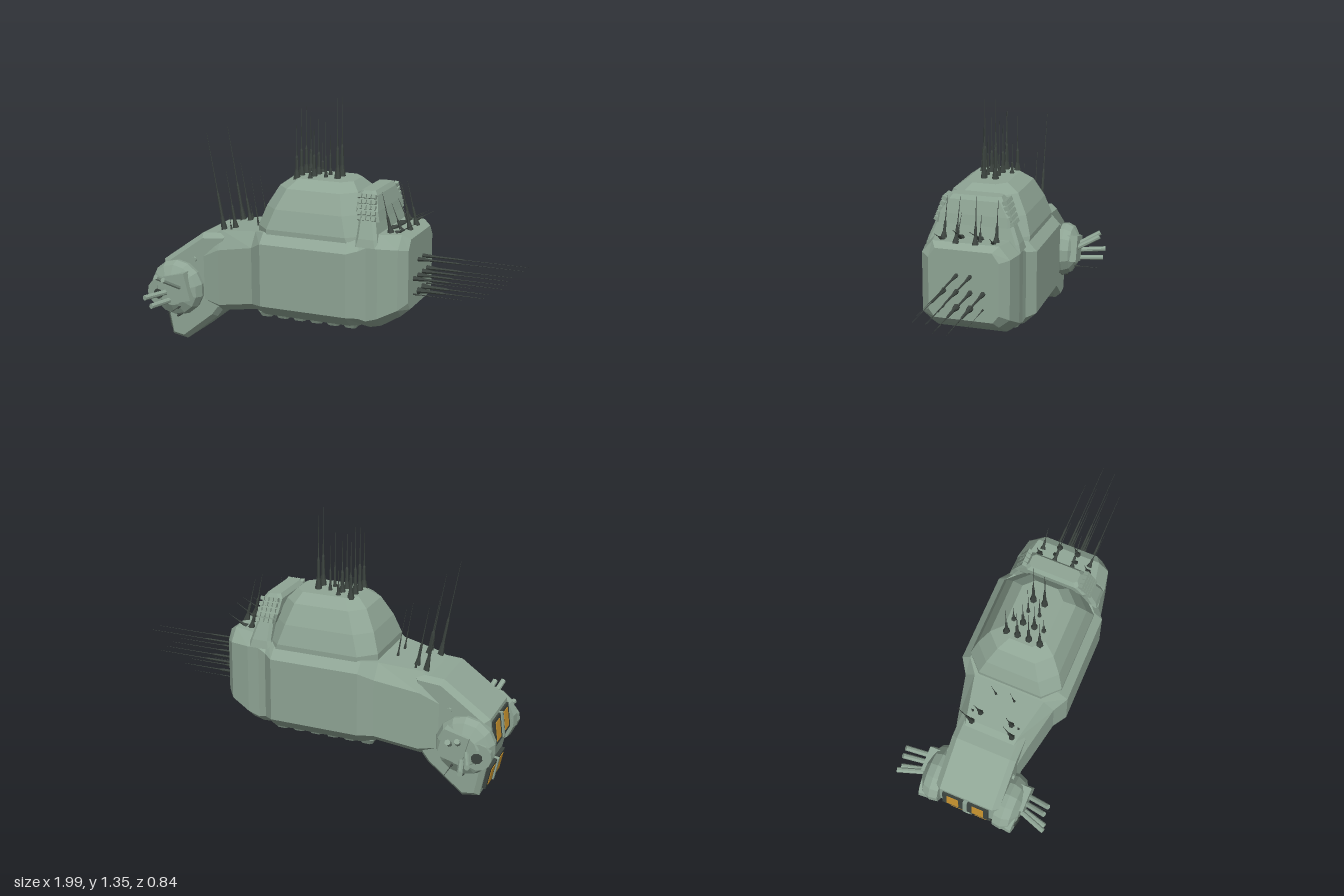
import * as THREE from 'three';

const mat = (color) => new THREE.MeshStandardMaterial({ color, flatShading: true });
const hull = mat(0x8fa595), dark = mat(0x3c443f), amber = mat(0xc8922e);
const V = (x, y, z) => new THREE.Vector3(x, y, z);

// Skin rings of corners (counter-clockwise about the direction of travel) and cap both ends
function loft(rings) {
  const n = rings[0].length, idx = [];
  for (let r = 0; r < rings.length - 1; r++) {
    for (let i = 0; i < n; i++) {
      const a = r * n + i, b = r * n + (i + 1) % n;
      idx.push(a, b, b + n, a, b + n, a + n);
    }
  }
  const last = (rings.length - 1) * n;
  for (let i = 1; i < n - 1; i++) idx.push(0, i + 1, i, last, last + i, last + i + 1);
  const g = new THREE.BufferGeometry();
  g.setAttribute('position', new THREE.Float32BufferAttribute(rings.flat(2), 3));
  g.setIndex(idx);
  const flat = g.toNonIndexed();
  flat.computeVertexNormals();
  return flat;
}

// Chamfered rectangle at height y
const slab = (y, x0, x1, h, c) => [
  [x0 + c, y, h], [x1 - c, y, h], [x1, y, h - c], [x1, y, c - h],
  [x1 - c, y, -h], [x0 + c, y, -h], [x0, y, c - h], [x0, y, h - c],
];

// Eight-cornered hull section at x
const section = ([x, yb, wb, yl, w, ys, wt, yt]) => [
  [x, yt, -wt], [x, yt, wt], [x, ys, w], [x, yl, w],
  [x, yb, wb], [x, yb, -wb], [x, yl, -w], [x, ys, -w],
];

export function createModel() {
  const root = new THREE.Group();
  const add = (name, geo, material = hull, p = [0, 0, 0]) => {
    const m = new THREE.Mesh(geo, material);
    m.name = name;
    m.position.set(...p);
    root.add(m);
    return m;
  };
  const along = (m, a, b) => m.quaternion.setFromUnitVectors(V(0, 1, 0), b.clone().sub(a).normalize());

  // Stepped needle from a to b
  const spine = (name, a, b, r) => {
    const A = V(...a), B = V(...b), L = A.distanceTo(B);
    const pts = [[0, 0], [r, 0], [r * 0.8, L * 0.06], [r * 0.45, L * 0.16], [r * 0.36, L * 0.38], [r * 0.16, L * 0.42], [0.0006, L]]
      .map(([x, y]) => new THREE.Vector2(x, y));
    along(add(name, new THREE.LatheGeometry(pts, 6), dark, a), A, B);
  };
  const rod = (name, a, b, r, material = hull, sides = 8) => {
    const A = V(...a), B = V(...b);
    const mid = A.clone().add(B).multiplyScalar(0.5);
    along(add(name, new THREE.CylinderGeometry(r, r, A.distanceTo(B), sides), material, mid.toArray()), A, B);
  };

  // Main hull: neck, bulging middle and rear block
  add('hull', loft([
    [-0.72, 0.22, 0.13, 0.26, 0.17, 0.48, 0.12, 0.58],
    [-0.60, 0.20, 0.15, 0.24, 0.195, 0.54, 0.14, 0.635],
    [-0.38, 0.245, 0.19, 0.29, 0.245, 0.59, 0.19, 0.665],
    [-0.31, 0.24, 0.23, 0.30, 0.292, 0.63, 0.245, 0.68],
    [0.16, 0.24, 0.23, 0.30, 0.292, 0.63, 0.245, 0.68],
    [0.21, 0.24, 0.19, 0.29, 0.25, 0.64, 0.20, 0.70],
    [0.25, 0.23, 0.18, 0.28, 0.245, 0.66, 0.19, 0.72],
    [0.31, 0.245, 0.18, 0.30, 0.245, 0.66, 0.19, 0.72],
    [0.41, 0.305, 0.17, 0.35, 0.225, 0.66, 0.17, 0.725],
    [0.45, 0.34, 0.15, 0.38, 0.18, 0.65, 0.145, 0.70],
  ].map(section)));

  // Dome on the middle
  add('dome', loft([
    slab(0.64, -0.37, 0.24, 0.25, 0.08), slab(0.70, -0.37, 0.22, 0.25, 0.08),
    slab(0.80, -0.335, 0.19, 0.22, 0.08), slab(0.90, -0.28, 0.15, 0.17, 0.07),
    slab(0.945, -0.22, 0.11, 0.11, 0.05),
  ]));

  // Head with its drooping chin, bevelled along the sides
  const profile = [[-0.925, 0.43], [-0.7, 0.59], [-0.58, 0.60], [-0.62, 0.22], [-0.655, 0.175],
    [-0.83, 0.035], [-0.89, 0.045], [-0.915, 0.18], [-0.94, 0.3]].map(([x, y]) => new THREE.Vector2(x, y));
  const head = new THREE.ExtrudeGeometry(new THREE.Shape(profile), {
    depth: 0.29, bevelEnabled: true, bevelThickness: 0.03, bevelSize: 0.025, bevelSegments: 1,
  });
  add('head', head, hull, [0, 0, -0.145]);

  // Four glowing exhaust windows with dark frames on the end of the head
  for (const [x, y, tilt, h] of [[-0.955, 0.36, -0.13, 0.13], [-0.932, 0.115, 0.19, 0.12]]) {
    for (const z of [-0.07, 0.07]) {
      const frame = add('exhaustFrame', new THREE.BoxGeometry(0.03, h, 0.115), dark, [x, y, z]);
      const pane = add('exhaustWindow', new THREE.BoxGeometry(0.036, h * 0.75, 0.065), amber, [x, y, z]);
      frame.rotation.z = pane.rotation.z = tilt;
    }
    const rib = add('exhaustRib', new THREE.BoxGeometry(0.045, h, 0.022), hull, [x, y, 0]);
    rib.rotation.z = tilt;
  }

  // Armour tiles under the belly
  for (let i = 0; i < 6; i++) {
    for (let j = 0; j < 4; j++) {
      const t = slab(0, -0.042, 0.042, 0.048, 0.012);
      const small = slab(-0.025, -0.03, 0.03, 0.036, 0.01);
      add('bellyTile', loft([small, t, t.map(([x, , z]) => [x, 0.03, z])]), hull,
        [-0.325 + i * 0.094, 0.24, (j - 1.5) * 0.107]);
    }
  }

  // Sensor arch behind the dome, leaning forward, with its foot
  add('sensorFoot', loft([slab(0.66, 0.18, 0.31, 0.245, 0.015), slab(0.70, 0.19, 0.30, 0.235, 0.015),
    slab(0.80, 0.19, 0.275, 0.195, 0.015)]));
  add('sensorArch', loft([slab(0.78, 0.185, 0.295, 0.19, 0.012), slab(0.83, 0.17, 0.285, 0.185, 0.012),
    slab(0.90, 0.165, 0.265, 0.145, 0.015), slab(0.922, 0.18, 0.25, 0.13, 0.015)]));

  for (const s of [1, -1]) {
    // Grid of sensor cells on each end of the arch
    for (let r = 0; r < 5; r++) {
      for (let c = 0; c < 4; c++) {
        const cell = add('sensorCell', new THREE.BoxGeometry(0.02, 0.02, 0.025), hull,
          [0.196 + c * 0.025 - r * 0.003, 0.795 + r * 0.026, s * (0.194 - r * 0.0095)]);
        cell.rotation.x = -s * 0.4;
      }
    }

    // Dome masts
    for (const [x, z, top, r] of [[-0.19, 0.03, 1.29, 0.02], [-0.19, 0.088, 1.23, 0.02], [-0.12, 0.03, 1.23, 0.02],
      [-0.12, 0.08, 1.1, 0.017], [-0.055, 0.03, 1.23, 0.012], [0.01, 0.03, 1.354, 0.02]])
      spine('domeMast', [x, 0.935, s * z], [x, top, s * z], r);

    // Neck masts
    spine('neckMast', [-0.6, 0.62, s * 0.11], [-0.69, 1.14, s * 0.115], 0.018);
    spine('neckMast', [-0.545, 0.63, s * 0.085], [-0.6, 0.95, s * 0.085], 0.018);
    spine('neckMast', [-0.55, 0.63, s * 0.125], [-0.565, 0.72, s * 0.125], 0.012);
    spine('neckMast', [-0.43, 0.65, s * 0.05], [-0.47, 0.91, s * 0.05], 0.008);

    // Rear deck whips
    for (const [a, b, r] of [[[0.32, 0.72, 0.05], [0.48, 0.81, 0.04], 0.018], [[0.34, 0.72, 0.135], [0.29, 0.92, 0.13], 0.018],
      [[0.41, 0.72, 0.05], [0.36, 0.95, 0.04], 0.018], [[0.37, 0.72, 0.13], [0.47, 0.78, 0.14], 0.016],
      [[0.37, 0.71, 0.06], [0.31, 0.85, 0.05], 0.016]])
      spine('deckWhip', [a[0], a[1], s * a[2]], [b[0], b[1], s * b[2]], r);

    // Tail lances
    for (const [y, z, tip, r] of [[0.57, 0.035, 1, 0.012], [0.487, 0.1, 0.91, 0.015], [0.487, 0.035, 0.91, 0.015],
      [0.405, 0.035, 0.8, 0.02], [0.405, 0.1, 0.7, 0.006]]) {
      spine('tailLance', [0.44, y, s * z], [tip, y, s * z], r);
    }

    // Side turret: faceted drum with cheek discs, gun mount and barrels
    const drum = [[0, 0], [0.145, 0], [0.152, 0.045], [0.135, 0.085], [0.08, 0.115], [0, 0.118]]
      .map(([x, y]) => new THREE.Vector2(x, y));
    const cap = add('turretDrum', new THREE.LatheGeometry(drum, 14), hull, [-0.845, 0.31, s * 0.155]);
    cap.rotation.x = s * Math.PI / 2;
    rod('turretCheek', [-0.915, 0.29, s * 0.16], [-0.925, 0.29, s * 0.265], 0.07, hull, 12);
    rod('turretEye', [-0.92, 0.285, s * 0.25], [-0.925, 0.285, s * 0.274], 0.028, dark, 8);
    const mount = add('gunMount', new THREE.BoxGeometry(0.13, 0.15, 0.06), hull, [-0.805, 0.33, s * 0.255]);
    mount.rotation.z = 0.25;
    for (const [x, y, x2, y2, z2] of [[-0.82, 0.33, -0.86, 0.42, 0.395], [-0.78, 0.32, -0.815, 0.41, 0.4],
      [-0.86, 0.3, -0.92, 0.305, 0.415], [-0.84, 0.26, -0.885, 0.262, 0.41]])
      rod('gunBarrel', [x, y, s * 0.24], [x2, y2, s * z2], 0.014);
    spine('turretNeedle', [-0.8, 0.225, s * 0.2], [-0.8, 0.225, s * 0.405], 0.014);
    rod('chinPin', [-0.84, 0.155, s * 0.16], [-0.84, 0.155, s * 0.215], 0.007, dark, 6);
    rod('headBolt', [-0.75, 0.47, s * 0.165], [-0.75, 0.47, s * 0.187], 0.014);
  }
  return root;
}
